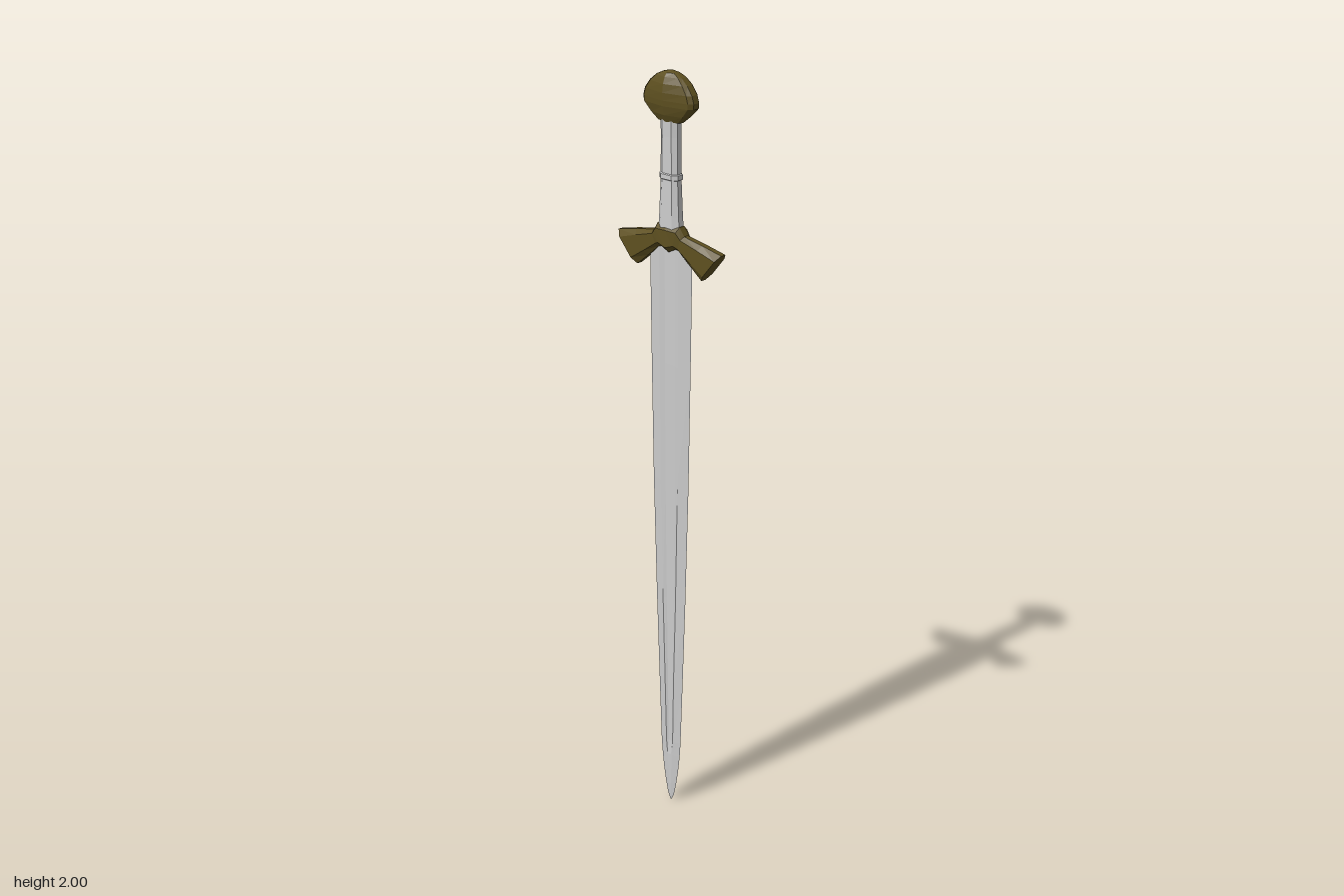
import * as THREE from 'three';

const steel = new THREE.MeshStandardMaterial({ color: 0xcccccc, flatShading: true });
const bronze = new THREE.MeshStandardMaterial({ color: 0x5e5020, flatShading: true });

// Closed skin over rings of [x, y, z]; each ring runs counter-clockwise seen from the far end.
function loft(name, rings, material) {
  const pos = [];
  const n = rings[0].length;
  const tri = (a, b, c) => pos.push(...a, ...b, ...c);
  for (let i = 0; i < rings.length - 1; i++) {
    const a = rings[i], b = rings[i + 1];
    for (let j = 0; j < n; j++) {
      const k = (j + 1) % n;
      tri(a[j], a[k], b[k]);
      tri(a[j], b[k], b[j]);
    }
  }
  // End caps, fanned from the ring centres
  const centre = (r) => [0, 1, 2].map((c) => r.reduce((s, p) => s + p[c], 0) / n);
  const first = rings[0], last = rings[rings.length - 1];
  for (let j = 0; j < n; j++) {
    const k = (j + 1) % n;
    tri(centre(first), first[k], first[j]);
    tri(centre(last), last[j], last[k]);
  }
  const geo = new THREE.BufferGeometry();
  geo.setAttribute('position', new THREE.Float32BufferAttribute(pos, 3));
  geo.computeVertexNormals();
  const mesh = new THREE.Mesh(geo, material);
  mesh.name = name;
  return mesh;
}

// Horizontal ring mirrored in x and z from its +x, back quarter of [x, depth]
function ringY(y, quarter) {
  const back = [...quarter, ...quarter.filter((p) => p[0] > 0).reverse().map(([x, d]) => [-x, d])];
  const front = [...back].reverse().filter((p) => p[1] > 0).map(([x, d]) => [x, -d]);
  return [...back, ...front].map(([x, d]) => [x, y, -d]);
}

// Blade: sharp edges with a shallow fuller narrowing towards the tip
function blade() {
  // y, half width, fuller half width, half thickness, fuller depth
  const stations = [
    [0, 0.002, 0.0006, 0.0008, 0],
    [0.015, 0.01, 0.002, 0.002, 0],
    [0.05, 0.018, 0.003, 0.004, 0],
    [0.09, 0.025, 0.005, 0.005, 0],
    [0.14, 0.031, 0.007, 0.006, 0],
    [0.18, 0.034, 0.011, 0.006, 0.003],
    [0.36, 0.041, 0.015, 0.007, 0.004],
    [0.6, 0.05, 0.022, 0.007, 0.004],
    [0.93, 0.06, 0.029, 0.008, 0.004],
    [1.25, 0.066, 0.031, 0.008, 0.004],
    [1.58, 0.071, 0.033, 0.008, 0.004],
  ];
  return loft('blade', stations.map(([y, w, f, t, d]) =>
    ringY(y, [[w, 0], [f, t], [f * 0.55, t - d]])), steel);
}

// Guard: two flared, drooping arms with bevelled edges around a raised centre
function guard() {
  // top x, top y, bottom x, bottom y, half depth
  const half = [
    [0.171, 1.572, 0.107, 1.495, 0.019],
    [0.11, 1.585, 0.07, 1.525, 0.019],
    [0.05, 1.596, 0.034, 1.556, 0.019],
    [0.036, 1.617, 0.022, 1.558, 0.022],
  ];
  const stations = [
    ...half.map(([tx, ty, bx, by, d]) => [-tx, ty, -bx, by, d]),
    [0, 1.621, 0, 1.547, 0.024],
    ...[...half].reverse(),
  ];
  const section = [[0, -0.4], [0.2, -1], [0.8, -1], [1, -0.4], [1, 0.4], [0.8, 1], [0.2, 1], [0, 0.4]];
  return loft('guard', stations.map(([tx, ty, bx, by, d]) =>
    section.map(([t, z]) => [tx + (bx - tx) * t, ty + (by - ty) * t, z * d]).reverse()), bronze);
}

// Grip: flattened octagonal handle with a thin band at mid height
function grip() {
  const stations = [
    [1.6, 0.035, 0.019], [1.64, 0.032, 0.018], [1.732, 0.028, 0.016],
    [1.734, 0.031, 0.019], [1.746, 0.031, 0.019], [1.748, 0.028, 0.016],
    [1.84, 0.027, 0.016], [1.89, 0.028, 0.017],
  ];
  return loft('grip', stations.map(([y, w, d]) =>
    ringY(y, [[w, d * 0.45], [w * 0.55, d]])), steel);
}

// Pommel: domed cap, thickest in the middle and tapering to the sides
function pommel() {
  const stations = [
    [1.877, 0.036, 0.018], [1.895, 0.058, 0.026], [1.918, 0.081, 0.031],
    [1.932, 0.082, 0.032], [1.951, 0.076, 0.032], [1.972, 0.06, 0.029],
    [1.988, 0.041, 0.023], [1.997, 0.022, 0.016], [2, 0.01, 0.009],
  ];
  return loft('pommel', stations.map(([y, w, d]) =>
    ringY(y, [[w, d * 0.3], [w * 0.87, d * 0.62], [0, d]])), bronze);
}

export function createModel() {
  const sword = new THREE.Group();
  sword.name = 'sword';
  sword.add(blade(), guard(), grip(), pommel());
  return sword;
}
